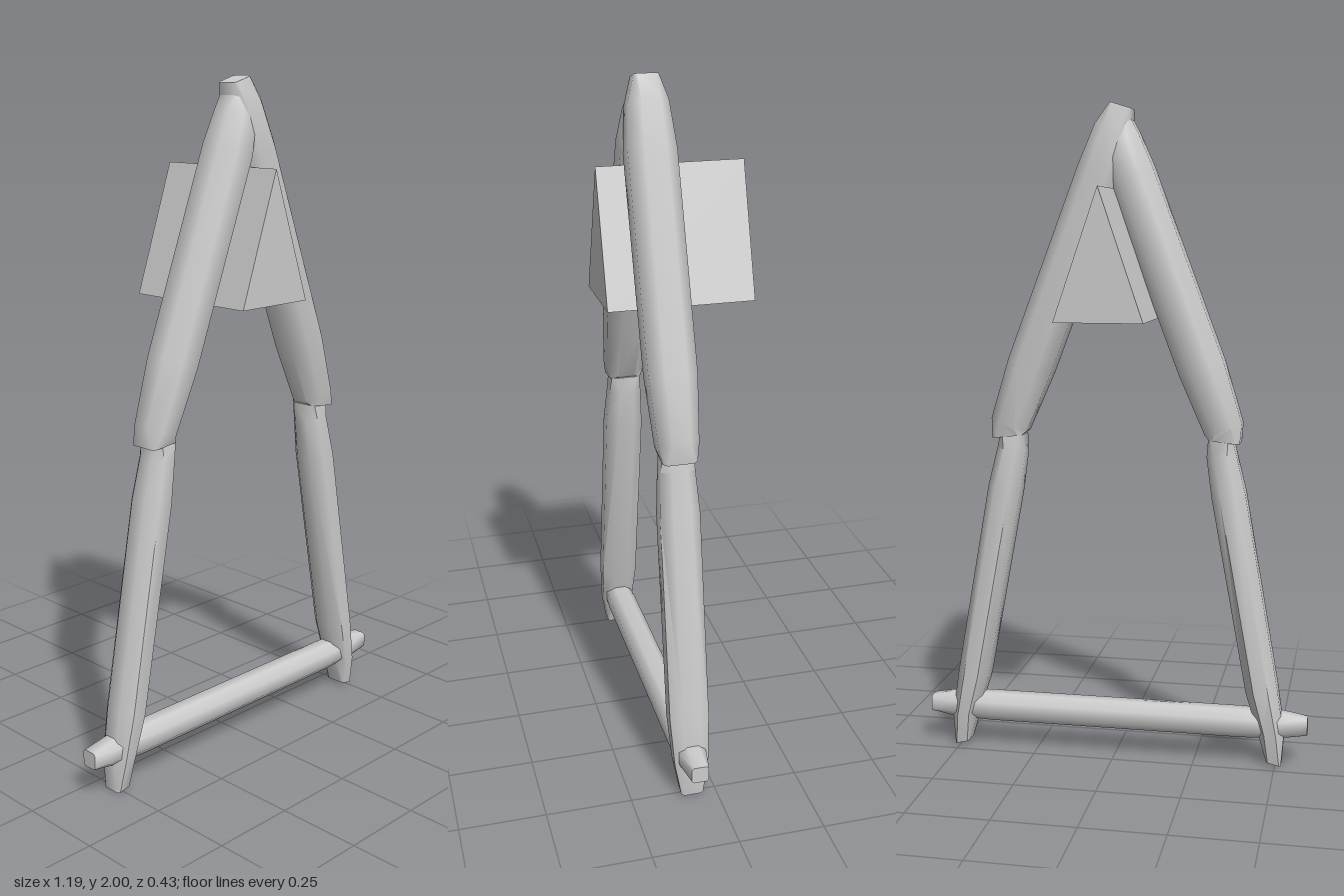
import * as THREE from 'three';
import { toCreasedNormals } from 'three/addons/utils/BufferGeometryUtils.js';

const Z = 0.07; // depth of the timber frame's centre plane
const material = new THREE.MeshStandardMaterial({ color: 0xcccccc });

// Log lofted through eight-sided sections. Each station holds the two edge
// points in the xy plane and the half depth: [x1, y1, x2, y2, halfDepth].
function log(name, stations, side = 1) {
  const positions = [];
  const index = [];
  const face = (a, b, c) => (side > 0 ? index.push(a, b, c) : index.push(a, c, b));
  stations.forEach(([x1, y1, x2, y2, h], i) => {
    const c = i === 0 || i === stations.length - 1 ? 0.75 : 0.45; // squarer ends
    const ring = [[1, -c], [1, c], [c, 1], [-c, 1], [-1, c], [-1, -c], [-c, -1], [c, -1]];
    for (const [u, v] of ring) {
      const t = (u + 1) / 2;
      positions.push(side * (x1 + (x2 - x1) * t), y1 + (y2 - y1) * t, Z + v * h);
    }
  });
  for (let i = 0; i < stations.length - 1; i++) {
    for (let k = 0; k < 8; k++) {
      const a = i * 8 + k;
      const b = i * 8 + (k + 1) % 8;
      face(a, b, a + 8);
      face(b, b + 8, a + 8);
    }
  }
  const last = (stations.length - 1) * 8;
  for (let k = 1; k < 7; k++) {
    face(0, k + 1, k);
    face(last, last + k, last + k + 1);
  }
  const geometry = new THREE.BufferGeometry();
  geometry.setAttribute('position', new THREE.Float32BufferAttribute(positions, 3));
  geometry.setIndex(index);
  const mesh = new THREE.Mesh(toCreasedNormals(geometry, 0.85), material);
  mesh.name = name;
  return mesh;
}

export function createModel() {
  const group = new THREE.Group();
  group.name = 'frame';

  // Upper beams, one running a little past the other at the peak
  const leftTip = [[-0.05, 1.98, 0.015, 2.0, 0.035], [-0.049, 1.9, 0.06, 1.94, 0.058]];
  const rightTip = [[-0.02, 1.93, 0.045, 1.955, 0.035], [-0.04, 1.87, 0.07, 1.91, 0.058]];
  const beam = [
    [-0.02, 1.77, 0.11, 1.82, 0.07],
    [0.196, 1.2, 0.328, 1.245, 0.07],
    [0.275, 1.02, 0.385, 1.06, 0.058],
    [0.288, 1.01, 0.38, 1.0, 0.05],
  ];
  group.add(log('leftUpperBeam', [...leftTip, ...beam], 1));
  group.add(log('rightUpperBeam', [...rightTip, ...beam], -1));

  // Lower legs, tucked into the ends of the upper beams
  const leg = [
    [0.285, 1.01, 0.355, 1.022, 0.044],
    [0.28, 0.955, 0.368, 0.97, 0.05],
    [0.297, 0.83, 0.398, 0.848, 0.058],
    [0.408, 0.23, 0.504, 0.247, 0.058],
    [0.445, 0.11, 0.526, 0.1, 0.05],
    [0.473, 0.015, 0.519, 0.004, 0.033],
  ];
  group.add(log('leftLowerLeg', leg, 1), log('rightLowerLeg', leg, -1));

  // Crossbar with tapered ends poking through the legs
  const bar = [[-0.597, 0.025], [-0.52, 0.039], [-0.4, 0.044], [0.4, 0.044], [0.52, 0.039], [0.597, 0.025]];
  group.add(log('crossbar', bar.map(([x, r]) => [x, 0.13 - r, x, 0.13 + r, r])));

  // Triangular block wedged under the peak
  const triangle = new THREE.Shape([
    new THREE.Vector2(-0.13, 1.37),
    new THREE.Vector2(0.13, 1.37),
    new THREE.Vector2(0, 1.75),
  ]);
  const wedge = new THREE.Mesh(
    new THREE.ExtrudeGeometry(triangle, { depth: 0.43, bevelEnabled: false }).translate(0, 0, -0.215),
    material,
  );
  wedge.name = 'wedge';
  group.add(wedge);

  return group;
}
